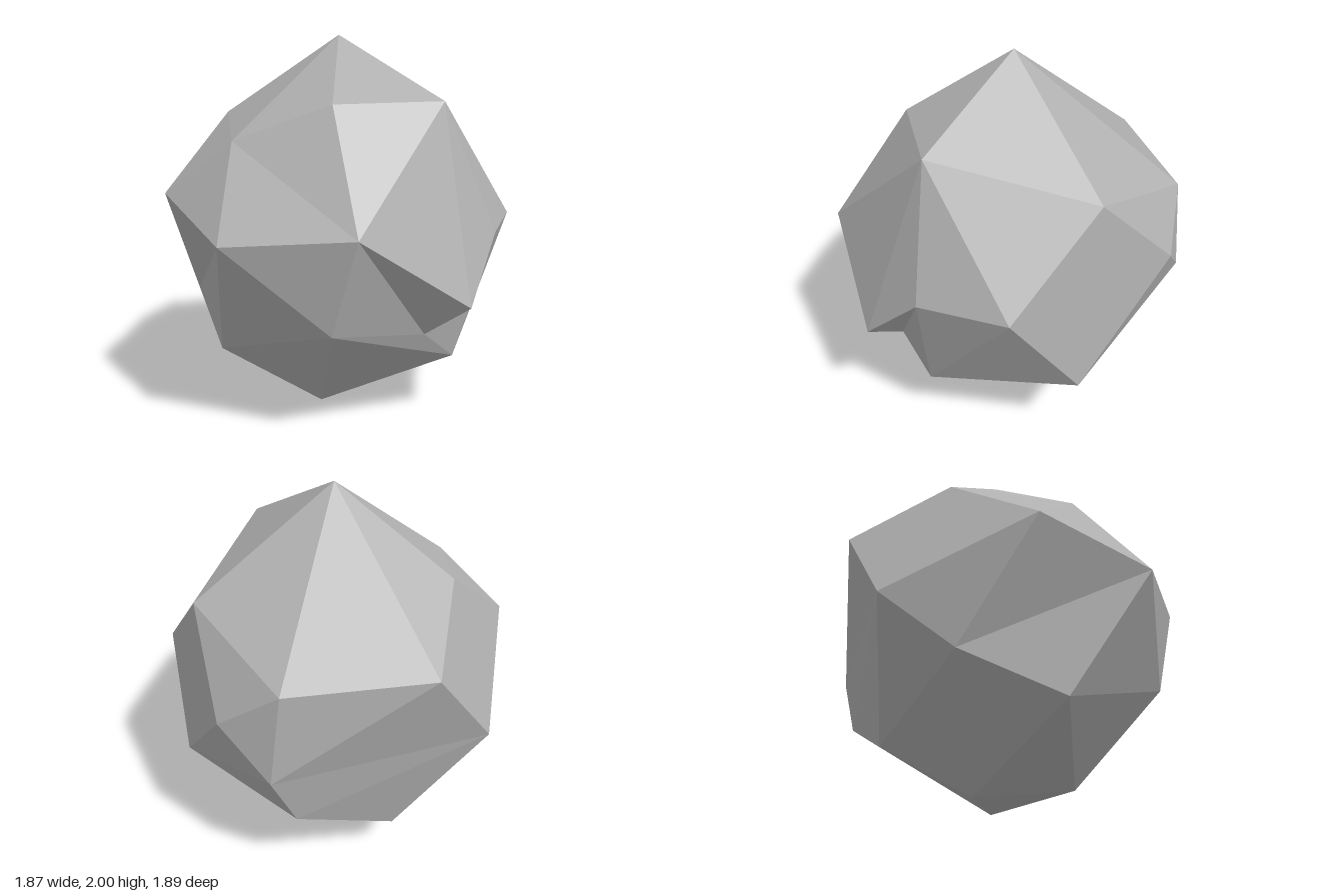
import * as THREE from 'three';

// Corners of the boulder, from the peak down to the foot
const corners = {
  A: [-0.02, 2, -0.015],
  // shoulder
  B: [0.55, 1.66, 0.34], T: [0.01, 1.65, 0.55], S: [-0.49, 1.47, 0.54],
  U: [-0.66, 1.58, -0.07], V: [0.56, 1.48, -0.51], a: [-0.71, 1.32, -0.61], Y: [-0.03, 1.285, -0.9],
  // waist
  O: [-0.87, 1.19, 0.45], P: [-0.48, 1.02, 0.91], Q: [0.17, 1.07, 0.945], D: [0.82, 1, 0.35],
  C: [0.93, 1.02, -0.12], Z: [0.305, 1.05, -0.875], X: [0.015, 0.8, -0.945], N: [-0.94, 0.85, -0.31],
  // underside
  M: [-0.83, 0.57, 0.04], L: [-0.58, 0.38, 0.5], R: [0.04, 0.59, 0.86], F: [0.47, 0.51, 0.54],
  E: [0.69, 0.69, 0.66], G: [0.62, 0.335, 0.36], H: [0.72, 0.48, -0.45], W: [-0.07, 0.495, -0.83],
  b: [-0.49, 0.25, -0.46], K: [-0.26, 0.03, -0.06], J: [-0.07, 0.075, 0.41], I: [0.02, 0, -0.05],
};

// Facets as fans: a hub corner, then its neighbours counter-clockwise
const fans = [
  'ATBVYaUST',  // peak
  'QTSPRFEBT',  // front
  'DBEFGCB',    // left side with its notch
  'HVCGIWXZV',  // back left
  'NOUaXWb',    // back right
  'MPONbKLP',   // right side
  'JRLKIGR',    // foot
  'YVZXa', 'bWIK', 'SUOP', 'RPL', 'RGF', 'CVB',
];

export function createModel() {
  const positions = [];
  for (const [hub, ...rim] of fans) {
    for (let i = 0; i + 1 < rim.length; i++) {
      positions.push(...corners[hub], ...corners[rim[i]], ...corners[rim[i + 1]]);
    }
  }

  // Separate corners per facet keep every edge sharp
  const geometry = new THREE.BufferGeometry();
  geometry.setAttribute('position', new THREE.Float32BufferAttribute(positions, 3));
  geometry.computeVertexNormals();

  const stone = new THREE.MeshStandardMaterial({ color: 0xb0b0b0, flatShading: true });
  stone.name = 'stone grey';

  const boulder = new THREE.Mesh(geometry, stone);
  boulder.name = 'boulder';

  const model = new THREE.Group();
  model.name = 'rock';
  model.add(boulder);
  return model;
}
